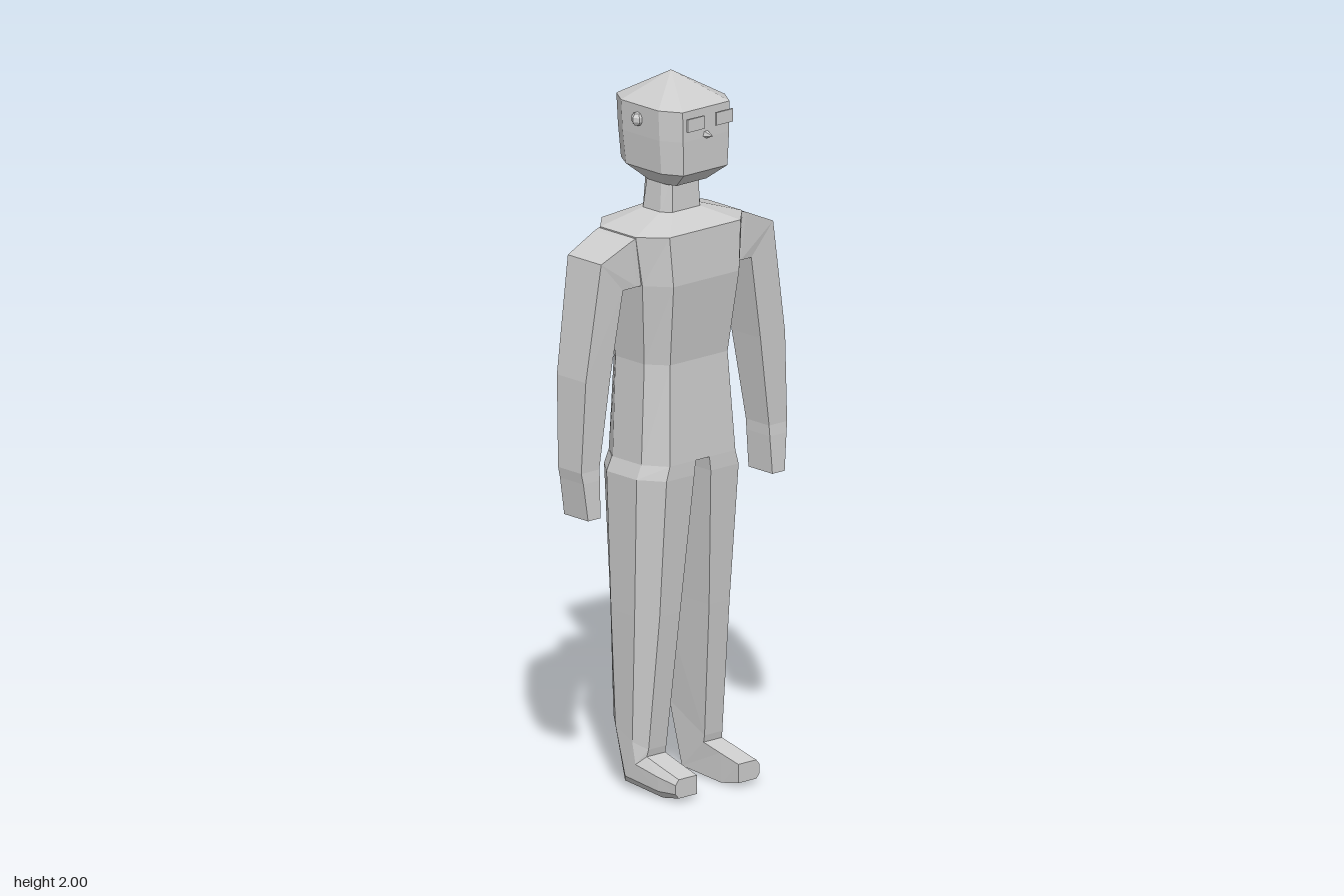
import * as THREE from 'three';

const skin = new THREE.MeshStandardMaterial({ color: 0xcccccc });
skin.name = 'plain grey';

// Faceted closed solid through a list of rings with equal point counts
function loft(rings) {
  const tris = [];
  const n = rings[0].length;
  for (let r = 0; r < rings.length - 1; r++) {
    for (let i = 0; i < n; i++) {
      const j = (i + 1) % n;
      const [a, b, c, d] = [rings[r][i], rings[r][j], rings[r + 1][j], rings[r + 1][i]];
      tris.push([a, b, c], [a, c, d]);
    }
  }
  const first = rings[0], last = rings[rings.length - 1];
  for (let i = 1; i < n - 1; i++) {
    tris.push([first[0], first[i + 1], first[i]], [last[0], last[i], last[i + 1]]);
  }
  // Signed volume tells whether the corners must be reversed
  let volume = 0;
  for (const [a, b, c] of tris) volume += a.dot(b.clone().cross(c));
  const points = tris.flatMap(([a, b, c]) => (volume < 0 ? [a, c, b] : [a, b, c]));
  const geometry = new THREE.BufferGeometry().setFromPoints(points);
  geometry.computeVertexNormals();
  return geometry;
}

const V = (x, y, z) => new THREE.Vector3(x, y, z);

// Eight-sided ring: half width w, flat half width f, front and back z, chamfer depth c
const octagon = ([y, w, f, zf, zb, c]) => [
  V(-f, y, zf), V(f, y, zf), V(w, y, zf - c), V(w, y, zb + c),
  V(f, y, zb), V(-f, y, zb), V(-w, y, zb + c), V(-w, y, zf - c),
];

// Six-sided leg ring: flat inside, chamfered outside; front and back are [y, z]
const legRing = (side) => ([front, back, xin, f, xout]) => {
  const at = (x, t) => V(side * x,
    THREE.MathUtils.lerp(front[0], back[0], t), THREE.MathUtils.lerp(front[1], back[1], t));
  return [at(xin, 0), at(f, 0), at(xout, 0.27), at(xout, 0.75), at(f, 1), at(xin, 1)];
};

// Four-sided arm ring: outer and inner are [x, y], with front and back z
const armRing = (side) => ([outer, inner, zf, zb]) => [
  V(side * inner[0], inner[1], zf), V(side * outer[0], outer[1], zf),
  V(side * outer[0], outer[1], zb), V(side * inner[0], inner[1], zb),
];

export function createModel() {
  const model = new THREE.Group();
  model.name = 'figure';
  const add = (name, geometry, x = 0, y = 0, z = 0) => {
    const flat = geometry.index ? geometry.toNonIndexed() : geometry;
    flat.computeVertexNormals();
    const mesh = new THREE.Mesh(flat, skin);
    mesh.name = name;
    mesh.position.set(x, y, z);
    model.add(mesh);
    return mesh;
  };

  // Torso with sloping shoulders
  add('torso', loft([
    [0.93, 0.165, 0.12, 0.105, -0.14, 0.065],
    [1.21, 0.15, 0.105, 0.09, -0.135, 0.055],
    [1.44, 0.175, 0.12, 0.12, -0.165, 0.065],
    [1.58, 0.195, 0.13, 0.115, -0.158, 0.065],
    [1.62, 0.074, 0.05, 0.04, -0.08, 0.025],
  ].map(octagon)));

  add('neck', loft([
    [1.61, 0.074, 0.05, 0.04, -0.08, 0.025],
    [1.72, 0.064, 0.048, 0.035, -0.07, 0.025],
  ].map(octagon)));

  // Head ending in a low pointed crown
  const head = [
    [1.70, 0.066, 0.055, 0.06, -0.07, 0.03],
    [1.745, 0.112, 0.08, 0.117, -0.135, 0.055],
    [1.84, 0.119, 0.084, 0.119, -0.143, 0.057],
    [1.925, 0.122, 0.086, 0.119, -0.147, 0.058],
  ].map(octagon);
  head.push(head[0].map(() => V(0, 2, -0.022)));
  add('head', loft(head));

  // Nose points forward
  const nose = new THREE.ConeGeometry(0.014, 0.034, 5);
  nose.rotateX(Math.PI / 2);
  add('nose', nose, 0, 1.848, 0.13);

  for (const side of [1, -1]) {
    const label = side > 0 ? 'left' : 'right';

    add(label + 'Ear', new THREE.SphereGeometry(0.02, 6, 5), side * 0.121, 1.885, -0.022);
    add(label + 'Eye', new THREE.SphereGeometry(0.013, 6, 5), side * 0.052, 1.888, 0.113);
    add(label + 'Lens', new THREE.BoxGeometry(0.062, 0.036, 0.006), side * 0.052, 1.89, 0.134);

    // Arm from shoulder to hand
    add(label + 'Arm', loft([
      [[0.18, 1.58], [0.16, 1.44], 0.05, -0.1],
      [[0.21, 1.572], [0.19, 1.44], 0.05, -0.097],
      [[0.315, 1.525], [0.235, 1.437], 0.043, -0.091],
      [[0.365, 1.2], [0.275, 1.2], 0.036, -0.08],
      [[0.377, 0.945], [0.311, 0.945], 0.031, -0.062],
      [[0.372, 0.915], [0.311, 0.915], 0.034, -0.06],
      [[0.36, 0.81], [0.315, 0.81], 0.04, -0.056],
    ].map(armRing(side))));

    // Leg bending forward into the foot
    add(label + 'Leg', loft([
      [[0.93, 0.105], [0.93, -0.14], 0.025, 0.12, 0.165],
      [[0.89, 0.105], [0.89, -0.146], 0.03, 0.132, 0.18],
      [[0.5, 0.073], [0.5, -0.125], 0.053, 0.128, 0.171],
      [[0.12, 0.036], [0.19, -0.105], 0.07, 0.135, 0.16],
      [[0.1, 0.032], [0.015, -0.055], 0.07, 0.138, 0.158],
      [[0.083, 0.095], [0, 0.1], 0.073, 0.14, 0.157],
      [[0.065, 0.165], [0.012, 0.165], 0.076, 0.142, 0.154],
    ].map(legRing(side))));
  }
  return model;
}
